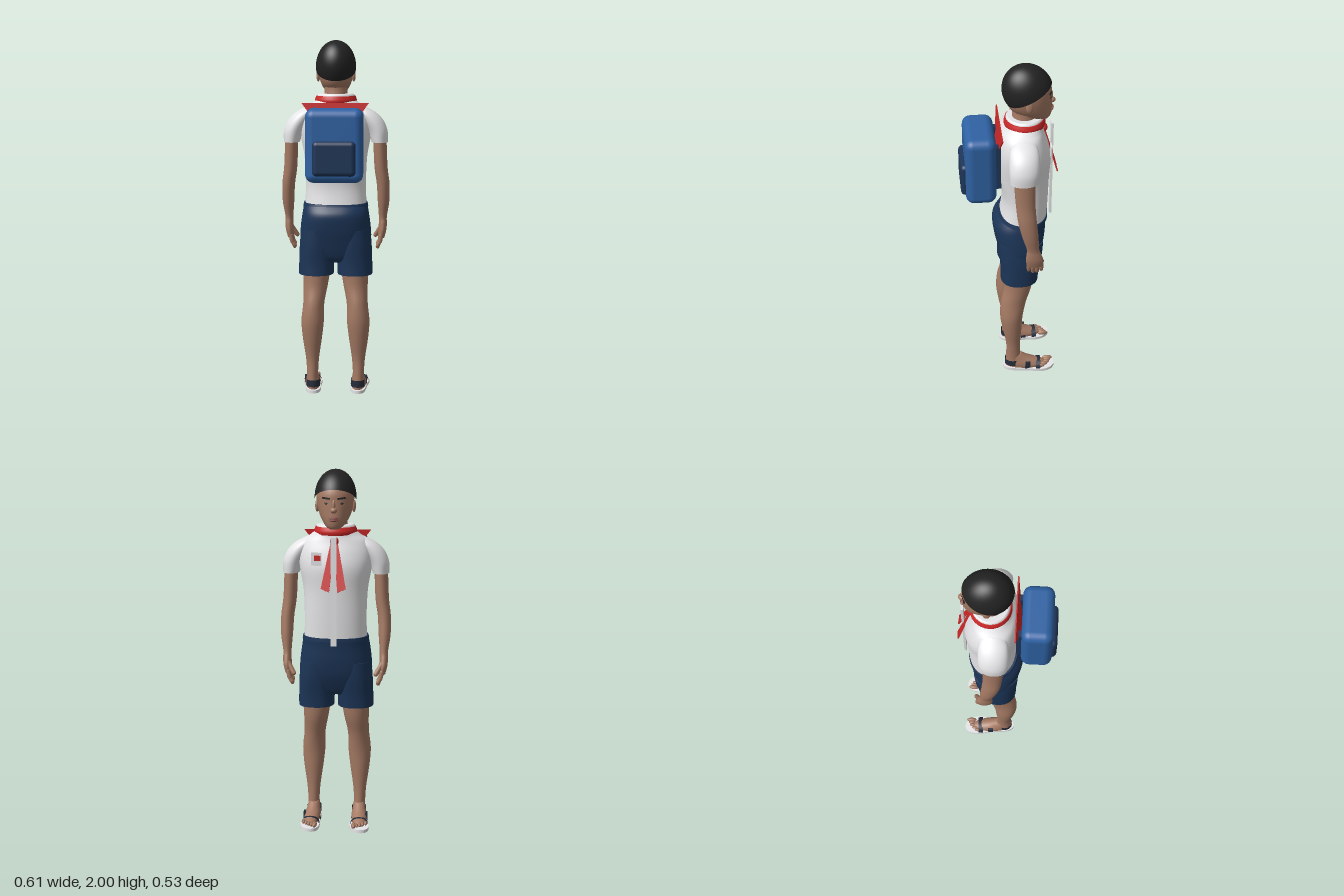
import * as THREE from 'three';
import { RoundedBoxGeometry } from 'three/addons/geometries/RoundedBoxGeometry.js';

const mat = (name, color, side = THREE.FrontSide) => {
  const m = new THREE.MeshStandardMaterial({ color, side });
  m.name = name;
  return m;
};

// Smooth body from rows [y, centreX, centreZ, radiusX, radiusZ], listed bottom to top
function loft(rows, e = 1, n = 32, steps = 5) {
  const pos = [], idx = [], rings = [];
  const pow = v => Math.sign(v) * Math.abs(v) ** e;
  for (let i = 0; i < rows.length - 1; i++) {
    const p = [rows[Math.max(i - 1, 0)], rows[i], rows[i + 1], rows[Math.min(i + 2, rows.length - 1)]];
    for (let s = 0; s < steps; s++) {
      const t = s / steps;
      rings.push(p[1].map((b, k) => {
        const a = p[0][k], c = p[2][k], d = p[3][k];
        return b + 0.5 * t * (c - a + t * (2 * a - 5 * b + 4 * c - d + t * (3 * (b - c) + d - a)));
      }));
    }
  }
  rings.push(rows[rows.length - 1]);
  const ring = ([y, cx, cz, rx, rz]) => {
    const start = pos.length / 3;
    for (let j = 0; j < n; j++) {
      const a = j / n * Math.PI * 2;
      pos.push(cx + rx * pow(Math.cos(a)), y, cz + rz * pow(Math.sin(a)));
    }
    return start;
  };
  const starts = rings.map(ring);
  for (let i = 0; i < starts.length - 1; i++) {
    for (let j = 0; j < n; j++) {
      const k = (j + 1) % n, a = starts[i], c = starts[i + 1];
      idx.push(a + j, c + j, a + k, a + k, c + j, c + k);
    }
  }
  // End caps with their own rims, so the edges stay sharp
  for (const top of [false, true]) {
    const r = rings[top ? rings.length - 1 : 0], s = ring(r), c = pos.length / 3;
    pos.push(r[1], r[0], r[2]);
    for (let j = 0; j < n; j++) {
      const k = (j + 1) % n;
      idx.push(c, s + (top ? k : j), s + (top ? j : k));
    }
  }
  const g = new THREE.BufferGeometry();
  g.setAttribute('position', new THREE.Float32BufferAttribute(pos, 3));
  g.setIndex(idx);
  g.computeVertexNormals();
  return g;
}

function plate(points, depth) {
  const shape = new THREE.Shape(points.map(p => new THREE.Vector2(...p)));
  return new THREE.ExtrudeGeometry(shape, { depth, bevelEnabled: false });
}

export function createModel() {
  const root = new THREE.Group();
  const skin = mat('skin', 0xa57a64), hair = mat('hair', 0x222222), white = mat('white cloth', 0xe8e8ea);
  const red = mat('red cloth', 0xcc2828, THREE.DoubleSide), navy = mat('navy cloth', 0x1c3557);
  const blue = mat('bag blue', 0x2f62a3), pocket = mat('pocket blue', 0x1e3557);
  const strap = mat('sandal strap', 0x262e3b, THREE.DoubleSide), lip = mat('lips', 0x8a5148);

  const add = (name, geo, m, p = [0, 0, 0], parent = root, scale = [1, 1, 1]) => {
    const mesh = new THREE.Mesh(geo, m);
    mesh.name = name;
    mesh.position.set(...p);
    mesh.scale.set(...scale);
    parent.add(mesh);
    return mesh;
  };
  const ball = (name, m, p, scale, parent = root) =>
    add(name, new THREE.SphereGeometry(1, 20, 14), m, p, parent, scale);
  const box = (name, size, m, p) => add(name, new THREE.BoxGeometry(...size), m, p);
  const finger = (name, a, b, r, parent) => {
    const A = new THREE.Vector3(...a), B = new THREE.Vector3(...b), d = B.clone().sub(A);
    const mesh = add(name, new THREE.CapsuleGeometry(r, d.length(), 4, 10), skin,
      A.clone().add(B).multiplyScalar(0.5).toArray(), parent);
    mesh.quaternion.setFromUnitVectors(new THREE.Vector3(0, 1, 0), d.normalize());
  };

  // Head and neck (the face looks towards -z)
  add('neck', loft([[1.62, 0, -0.08, 0.075, 0.075], [1.72, 0, -0.085, 0.064, 0.065], [1.78, 0, -0.09, 0.066, 0.07]]), skin);
  add('head', loft([[1.688, 0, -0.185, 0.026, 0.026], [1.705, 0, -0.158, 0.05, 0.064], [1.74, 0, -0.125, 0.074, 0.104],
    [1.78, 0, -0.11, 0.09, 0.118], [1.83, 0, -0.106, 0.1, 0.12], [1.88, 0, -0.104, 0.1, 0.118],
    [1.93, 0, -0.1, 0.085, 0.095], [1.975, 0, -0.1, 0.03, 0.03]]), skin);
  const cap = add('hair', new THREE.SphereGeometry(1, 40, 24, 0, Math.PI * 2, 0, 1.7), hair,
    [0, 1.855, -0.1], root, [0.112, 0.148, 0.132]);
  cap.rotation.x = 0.48;
  ball('nose', skin, [0, 1.79, -0.226], [0.018, 0.016, 0.021]);
  ball('noseBridge', skin, [0, 1.815, -0.221], [0.01, 0.032, 0.013]);
  ball('upperLip', lip, [0, 1.749, -0.227], [0.027, 0.007, 0.011]);
  ball('lowerLip', lip, [0, 1.738, -0.224], [0.024, 0.008, 0.011]);

  // Shirt
  add('shirt', loft([[1.08, 0, -0.08, 0.174, 0.13], [1.2, 0, -0.09, 0.17, 0.125], [1.35, 0, -0.08, 0.176, 0.14],
    [1.47, 0, -0.078, 0.196, 0.148], [1.55, 0, -0.073, 0.2, 0.137], [1.615, 0, -0.07, 0.18, 0.118],
    [1.65, 0, -0.078, 0.135, 0.102], [1.68, 0, -0.085, 0.1, 0.095]], 0.88, 48), white);
  add('shirtCollar', loft([[1.66, 0, -0.085, 0.108, 0.103], [1.695, 0, -0.085, 0.105, 0.1], [1.706, 0, -0.085, 0.096, 0.092]]), white);
  box('placket', [0.03, 0.59, 0.013], white, [0, 1.355, -0.233]);
  box('badge', [0.055, 0.07, 0.008], white, [0.093, 1.53, -0.218]);
  box('badgeMark', [0.036, 0.028, 0.004], red, [0.088, 1.535, -0.224]);

  // Neckerchief
  add('scarfBand', loft([[1.652, 0, -0.085, 0.112, 0.107], [1.67, 0, -0.085, 0.117, 0.111],
    [1.694, 0, -0.085, 0.109, 0.104]]), red);
  const flap = add('scarfBackFlap', plate([[-0.185, 0], [0, -0.25], [0.185, 0]], 0.006), red, [0, 1.66, 0.044]);
  flap.rotation.x = -0.13;
  ball('scarfKnot', red, [0, 1.622, -0.187], [0.024, 0.024, 0.021]);

  // Shorts
  add('shortsHips', loft([[0.765, 0, -0.055, 0.12, 0.08], [0.8, 0, -0.055, 0.175, 0.1], [0.88, 0, -0.06, 0.2, 0.126],
    [0.96, 0, -0.058, 0.198, 0.142], [1.04, 0, -0.058, 0.187, 0.147], [1.092, 0, -0.078, 0.178, 0.133]], 0.85, 48), navy);
  add('waistband', loft([[1.075, 0, -0.075, 0.184, 0.139], [1.095, 0, -0.078, 0.18, 0.136]], 0.85, 48), navy);

  // Backpack
  add('backpack', new RoundedBoxGeometry(0.314, 0.4, 0.165, 4, 0.045), blue, [0, 1.44, 0.158]);
  add('backpackPocket', new RoundedBoxGeometry(0.234, 0.19, 0.07, 4, 0.025), pocket, [0, 1.375, 0.23]);

  for (const s of [1, -1]) {
    const side = s > 0 ? 'left' : 'right';
    const part = new THREE.Group();
    part.name = side + 'Side';
    root.add(part);
    const body = (name, rows, m, e) => add(name, loft(rows.map(([y, x, ...r]) => [y, x * s, ...r]), e), m, [0, 0, 0], part);

    // Face details
    ball('ear', skin, [s * 0.099, 1.805, -0.1], [0.011, 0.034, 0.02], part);
    ball('eye', hair, [s * 0.037, 1.826, -0.213], [0.014, 0.006, 0.006], part);
    const brow = box('brow', [0.044, 0.009, 0.008], hair, [s * 0.041, 1.853, -0.215]);
    brow.rotation.set(0, s * -0.3, s * 0.12);

    // Scarf tail and bag strap
    const tail = add('scarfTail', plate([[s * -0.006, 0], [s * 0.016, 0], [s * 0.067, -0.265], [s * 0.022, -0.285]], 0.006),
      red, [0, 1.632, -0.188], part);
    tail.rotation.x = 0.28;
    box('bagStrap', [0.035, 0.26, 0.03], pocket, [s * 0.1, 1.45, 0.065]);

    // Sleeve and arm
    body('sleeve', [[1.438, 0.246, -0.06, 0.045, 0.074], [1.5, 0.235, -0.062, 0.055, 0.08], [1.56, 0.203, -0.064, 0.062, 0.08],
      [1.605, 0.165, -0.066, 0.055, 0.07], [1.638, 0.13, -0.07, 0.025, 0.04]], white);
    body('arm', [[0.885, 0.258, -0.12, 0.019, 0.043], [0.93, 0.265, -0.118, 0.023, 0.048], [0.97, 0.267, -0.113, 0.023, 0.041],
      [1.01, 0.267, -0.108, 0.023, 0.034], [1.1, 0.27, -0.092, 0.033, 0.044], [1.2, 0.267, -0.076, 0.036, 0.05],
      [1.3, 0.254, -0.067, 0.037, 0.052], [1.46, 0.247, -0.06, 0.037, 0.057]], skin);
    for (let i = 0; i < 4; i++) {
      const z = -0.086 - i * 0.023, low = 0.842 - (i === 1 || i === 2 ? 0.012 : 0);
      finger('finger', [s * 0.258, 0.9, z], [s * 0.251, 0.865, z - 0.002], 0.0125, part);
      finger('fingertip', [s * 0.251, 0.865, z - 0.002], [s * 0.238, low, z - 0.004], 0.011, part);
    }
    finger('thumb', [s * 0.258, 0.945, -0.145], [s * 0.226, 0.89, -0.163], 0.013, part);

    // Shorts leg and leg
    body('shortsLeg', [[0.69, 0.11, -0.05, 0.099, 0.105], [0.76, 0.108, -0.053, 0.1, 0.108],
      [0.86, 0.104, -0.058, 0.1, 0.12], [0.95, 0.1, -0.06, 0.095, 0.125]], navy, 0.88);
    body('leg', [[0.05, 0.132, -0.015, 0.034, 0.043], [0.11, 0.132, -0.015, 0.032, 0.042], [0.2, 0.132, -0.015, 0.038, 0.042],
      [0.32, 0.132, -0.008, 0.055, 0.056], [0.42, 0.13, -0.005, 0.064, 0.066], [0.52, 0.124, -0.017, 0.06, 0.073],
      [0.62, 0.114, -0.042, 0.069, 0.077], [0.72, 0.108, -0.05, 0.08, 0.083]], skin);

    // Foot with sandal, toes turned slightly out
    const foot = new THREE.Group();
    foot.name = side + 'Foot';
    foot.position.x = s * 0.128;
    foot.rotation.y = s * -0.06;
    part.add(foot);
    add('foot', loft([[0.016, 0, -0.09, 0.042, 0.12], [0.034, 0, -0.09, 0.044, 0.12], [0.052, 0, -0.07, 0.042, 0.1],
      [0.075, 0, -0.045, 0.036, 0.07], [0.105, 0, -0.02, 0.03, 0.045]]), skin, [0, 0, 0], foot);
    for (let i = 0; i < 5; i++) {
      const big = i === 0 ? 1.35 : 1;
      ball('toe', skin, [s * (-0.032 + i * 0.017), 0.03, -0.222 + i * i * 0.0025],
        [0.0095 * big, 0.011 * big, 0.022 * big], foot);
    }
    const outline = new THREE.Shape();
    outline.moveTo(0, -0.045);
    outline.bezierCurveTo(0.06, -0.045, 0.038, 0.07, 0.053, 0.14);
    outline.bezierCurveTo(0.066, 0.21, 0.035, 0.262, -0.008, 0.262);
    outline.bezierCurveTo(-0.062, 0.262, -0.058, 0.18, -0.046, 0.12);
    outline.bezierCurveTo(-0.036, 0.06, -0.058, -0.045, 0, -0.045);
    const sole = add('sole', new THREE.ExtrudeGeometry(outline, { depth: 0.018, bevelEnabled: false, curveSegments: 14 }), white,
      [0, s > 0 ? 0 : 0.018, 0], foot);
    sole.rotation.set(s * -Math.PI / 2, 0, s > 0 ? 0 : Math.PI);
    if (s < 0) sole.rotation.set(Math.PI / 2, Math.PI, 0, 'YXZ');
    if (s < 0) { sole.rotation.set(-Math.PI / 2, 0, 0); sole.position.y = 0; }
    add('heelStrap', new THREE.CylinderGeometry(1, 1, 0.04, 32, 1, true), strap, [0, 0.053, -0.015], foot, [0.04, 1, 0.049]);
    for (const [z, w, h] of [[-0.1, 0.047, 0.05], [-0.165, 0.05, 0.04]]) {
      const band = new THREE.CylinderGeometry(1, 1, 0.028, 24, 1, true, -Math.PI / 2, Math.PI);
      band.rotateX(-Math.PI / 2);
      add('toeStrap', band, strap, [0, 0.016, z], foot, [w, h, 1]);
    }
    box('strapBuckle', [0.012, 0.04, 0.03], strap, [s * 0.176, 0.045, -0.1]);
  }
  return root;
}
